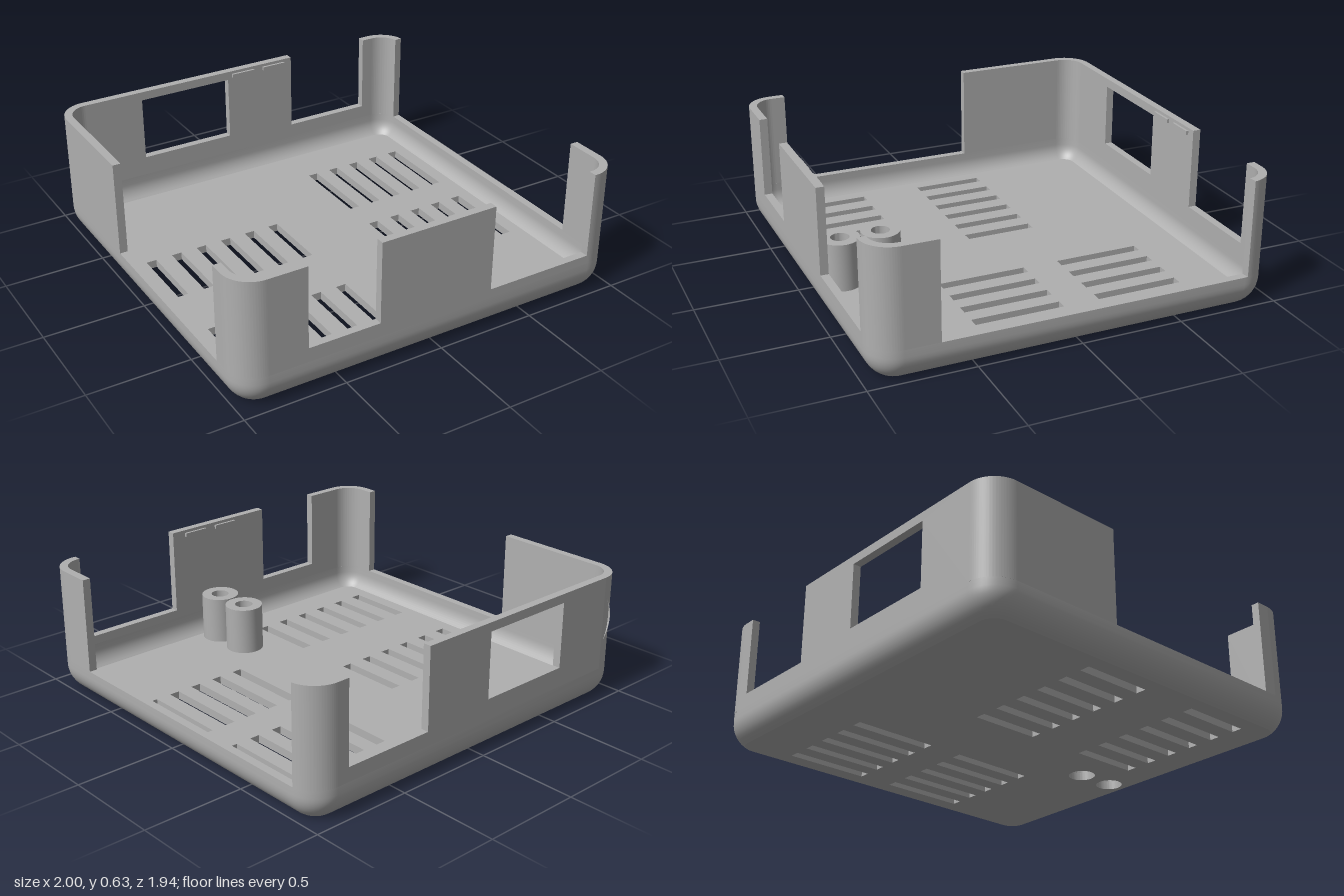
import * as THREE from 'three';
import { toCreasedNormals } from 'three/addons/utils/BufferGeometryUtils.js';

const CX = 0.86, CZ = 0.83;         // corner centres
const R = 0.14, T = 0.04;           // outer corner radius, wall thickness
const LIP = 0.155, TOP = 0.63;      // top of the tray, top of the walls
const PI = Math.PI;

const shapeOf = pts => new THREE.Shape(pts.map(p => new THREE.Vector2(...p)));
const rect = (x0, y0, x1, y1) => [[x0, y0], [x1, y0], [x1, y1], [x0, y1]];

function extrude(shape, depth) {
  return toCreasedNormals(
    new THREE.ExtrudeGeometry(shape, { depth, bevelEnabled: false, curveSegments: 32 }), 0.5);
}
// Plan shape (x, z) raised from y0 to y1
function slab(shape, y0, y1) {
  return extrude(shape, y1 - y0).rotateX(PI / 2).translate(0, y1, 0);
}

// Rounded lower rim: a closed cross-section swept round the rounded rectangle
function rimGeometry() {
  const profile = [[0.06, 0]];
  const n = 8, yc = 0.118;
  for (let i = 0; i <= n; i++) {
    const a = Math.asin(yc / R) * (1 - i / n);
    profile.push([R * Math.cos(a), yc - R * Math.sin(a)]);
  }
  profile.push([R, LIP], [R - T, LIP]);
  for (let i = 0; i <= n; i++) {
    const r = R - T, a = Math.asin((yc - T) / r) * (i / n);
    profile.push([r * Math.cos(a), yc - r * Math.sin(a)]);
  }
  profile.push([0.06, T]);

  const pos = [], idx = [], seg = 10, m = profile.length;
  const signs = [[1, 1], [-1, 1], [-1, -1], [1, -1]];
  signs.forEach(([sx, sz], q) => {
    for (let i = 0; i <= seg; i++) {
      const a = (q + i / seg) * PI / 2;
      for (const [d, y] of profile) pos.push(sx * CX + d * Math.cos(a), y, sz * CZ + d * Math.sin(a));
    }
  });
  const loops = 4 * (seg + 1);
  for (let i = 0; i < loops; i++) {
    for (let j = 0; j < m - 1; j++) {
      const a = i * m + j, c = ((i + 1) % loops) * m + j;
      idx.push(a, a + 1, c, a + 1, c + 1, c);
    }
  }
  const g = new THREE.BufferGeometry();
  g.setAttribute('position', new THREE.Float32BufferAttribute(pos, 3));
  g.setIndex(idx);
  return toCreasedNormals(g, 0.5);
}

export function createModel() {
  const group = new THREE.Group();
  const grey = new THREE.MeshStandardMaterial({ color: 0xb0b0b0 });
  grey.name = 'grey plastic';
  const add = (name, geometry) => {
    const mesh = new THREE.Mesh(geometry, grey);
    mesh.name = name;
    group.add(mesh);
    return mesh;
  };
  const posts = [[0.085, 0.61], [0.085, 0.81]];

  // Floor with vent slots and screw holes
  const floor = new THREE.Shape();
  const r = 0.06;
  floor.absarc(CX, CZ, r, 0, PI / 2);
  floor.absarc(-CX, CZ, r, PI / 2, PI);
  floor.absarc(-CX, -CZ, r, PI, 1.5 * PI);
  floor.absarc(CX, -CZ, r, 1.5 * PI, 2 * PI);
  const slots = (x0, step, count, z0, z1) => {
    for (let i = 0; i < count; i++) {
      const x = x0 + i * step;
      floor.holes.push(shapeOf(rect(x, z0, x + 0.052, z1)));
    }
  };
  slots(-0.855, 0.136, 6, -0.285, 0.07);
  slots(-0.855, 0.136, 6, 0.38, 0.735);
  slots(0.285, 0.129, 5, -0.655, -0.225);
  slots(0.285, 0.129, 5, -0.045, 0.395);
  for (const [x, z] of posts) floor.holes.push(new THREE.Path().absarc(x, z, 0.067, 0, 2 * PI));
  add('floor', slab(floor, 0, T));
  add('lowerRim', rimGeometry());

  // Rounded corner pillars
  const corner = (name, sx, sz, a0, a1) => {
    const s = new THREE.Shape();
    s.absarc(sx * CX, sz * CZ, R, a0, a1, false);
    s.absarc(sx * CX, sz * CZ, R - T, a1, a0, true);
    add(name, slab(s, LIP, TOP));
  };
  corner('frontLeftCorner', 1, 1, 0, PI / 2);
  corner('frontRightCorner', -1, 1, PI / 2, PI);
  corner('backRightCorner', -1, -1, PI, 1.5 * PI);
  corner('backLeftCorner', 1, -1, 1.5 * PI, 2 * PI - 0.107);

  // Front wall with two open notches
  add('frontWall', extrude(shapeOf([
    [-CX, LIP], [CX, LIP], [CX, TOP], [0.85, TOP], [0.85, 0.2], [0.285, 0.2], [0.285, TOP],
    [-0.31, TOP], [-0.31, 0.225], [-0.67, 0.225], [-0.67, TOP], [-CX, TOP],
  ]), T).translate(0, 0, CZ + R - T));

  // Back wall with a notch, a rectangular port and a round port
  const back = shapeOf([
    [-CX, LIP], [CX, LIP], [CX, TOP], [0.8, TOP], [0.8, 0.225], [0.335, 0.225], [0.335, TOP], [-CX, TOP],
  ]);
  back.holes.push(shapeOf(rect(-0.55, 0.255, -0.05, 0.585)));
  back.holes.push(new THREE.Path().absarc(-0.75, 0.415, 0.165, 0, 2 * PI));
  add('backWall', extrude(back, T).translate(0, 0, -CZ - R));

  // Side wall sections beside the wide openings
  const side = (name, x, z0, z1) => add(name, slab(shapeOf(rect(x - T / 2, z0, x + T / 2, z1)), LIP, TOP));
  const sx = CX + R - T / 2;
  side('leftWallFront', sx, 0.665, CZ);
  side('rightWallFront', -sx, 0.76, CZ);
  side('rightWallBack', -sx, -CZ, -0.255);

  // Hollow screw posts, counterbored from below
  const post = toCreasedNormals(new THREE.LatheGeometry([
    [0.067, T], [0.095, T], [0.095, 0.278], [0.045, 0.278], [0.045, 0.14], [0.067, 0.14], [0.067, T],
  ].map(p => new THREE.Vector2(...p)), 40), 0.5);
  for (const [x, z] of posts) add('screwPost', post).position.set(x, 0, z);

  // Small snap ridges inside the front and back walls
  const ridge = new THREE.BoxGeometry(0.13, 0.02, 0.014);
  for (const [x, z] of [[-0.05, 0.925], [0.145, 0.925], [0.04, -0.925], [0.225, -0.925]]) {
    add('snapRidge', ridge).position.set(x, 0.605, z);
  }
  return group;
}
